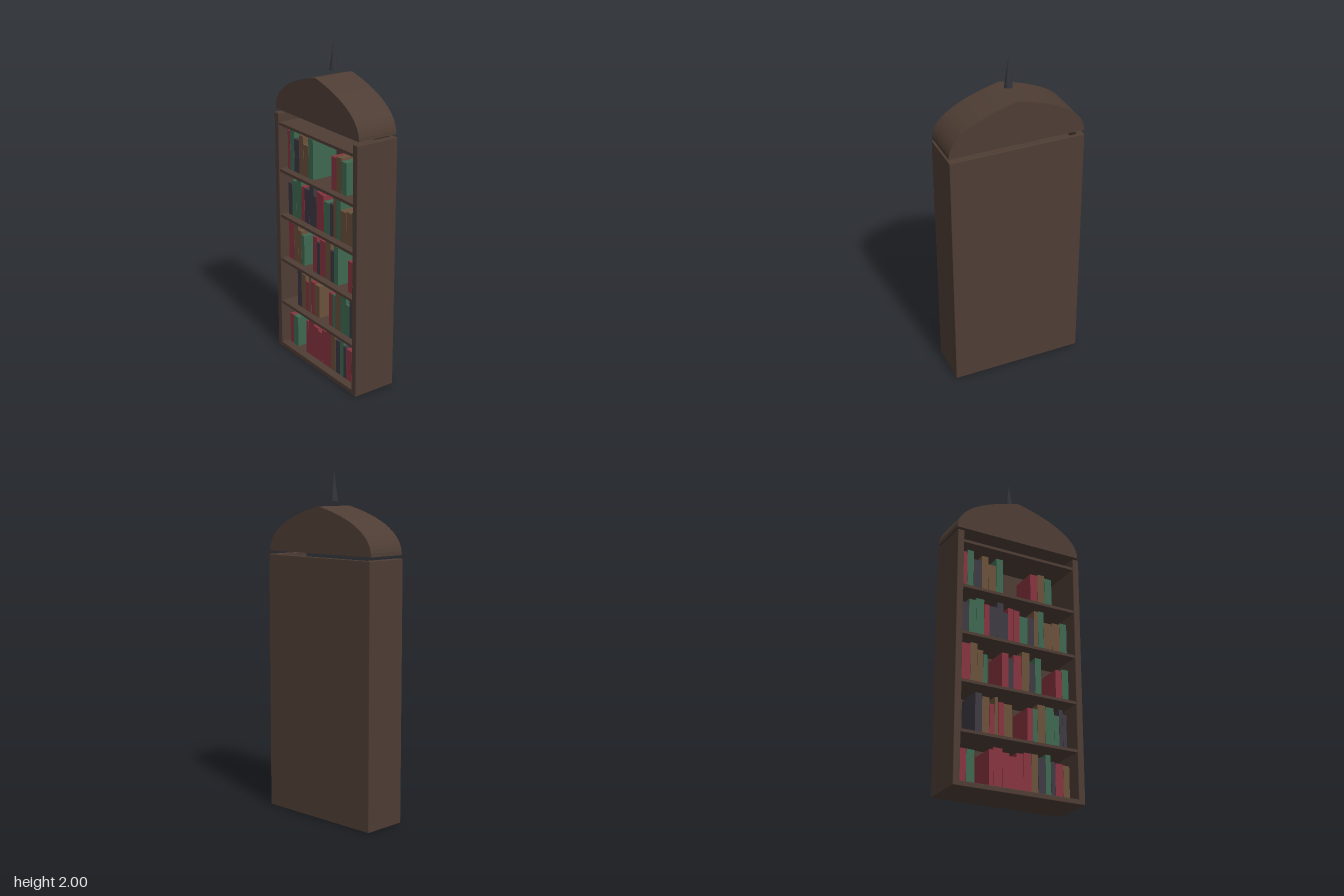
import * as THREE from 'three';
import { RoundedBoxGeometry } from 'three/addons/geometries/RoundedBoxGeometry.js';

const mat = (color) => new THREE.MeshStandardMaterial({ color });
const wood = mat(0x4e3d34);
const iron = mat(0x33343c);
const covers = { r: mat(0x86343f), g: mat(0x3f6850), b: mat(0x69513b), d: mat(0x3d3a43) };

// Shelf contents, bottom to top: runs of books as [startX, [cover, width, height], ...]
const shelves = [
  [
    [-0.339, ['r', 0.037, 0.195], ['g', 0.048, 0.195]],
    [-0.166, ['r', 0.026, 0.215], ['r', 0.054, 0.23], ['r', 0.044, 0.21], ['r', 0.042, 0.195],
      ['r', 0.045, 0.22], ['r', 0.047, 0.23], ['b', 0.042, 0.23], ['d', 0.048, 0.215],
      ['g', 0.033, 0.24], ['d', 0.028, 0.205], ['r', 0.05, 0.2], ['b', 0.04, 0.195]],
  ],
  [
    [-0.253, ['d', 0.042, 0.24], ['b', 0.044, 0.225], ['r', 0.033, 0.19], ['b', 0.022, 0.235],
      ['r', 0.035, 0.21], ['b', 0.052, 0.205]],
    [0.07, ['r', 0.035, 0.21], ['g', 0.03, 0.21], ['b', 0.05, 0.24], ['g', 0.055, 0.235],
      ['g', 0.033, 0.195], ['d', 0.024, 0.235], ['d', 0.025, 0.21]],
  ],
  [
    [-0.339, ['r', 0.053, 0.235], ['b', 0.042, 0.245], ['b', 0.037, 0.21], ['g', 0.028, 0.19]],
    [-0.09, ['r', 0.041, 0.225], ['d', 0.031, 0.2], ['r', 0.054, 0.225], ['b', 0.05, 0.255],
      ['d', 0.036, 0.195], ['g', 0.04, 0.235]],
    [0.255, ['r', 0.042, 0.19], ['g', 0.043, 0.2]],
  ],
  [
    [-0.339, ['d', 0.04, 0.2], ['g', 0.045, 0.225], ['g', 0.05, 0.24], ['r', 0.034, 0.215],
      ['d', 0.05, 0.21], ['d', 0.04, 0.245], ['d', 0.028, 0.19], ['r', 0.037, 0.225],
      ['r', 0.037, 0.22], ['g', 0.053, 0.19], ['d', 0.042, 0.195], ['b', 0.028, 0.245],
      ['g', 0.037, 0.25], ['b', 0.055, 0.185], ['b', 0.053, 0.195], ['g', 0.045, 0.205]],
  ],
  [
    [-0.339, ['r', 0.025, 0.235], ['g', 0.041, 0.25], ['d', 0.052, 0.2], ['b', 0.041, 0.235],
      ['b', 0.051, 0.19], ['g', 0.046, 0.24]],
    [0.095, ['r', 0.05, 0.195], ['b', 0.045, 0.205], ['g', 0.048, 0.19]],
  ],
];

export function createModel() {
  const model = new THREE.Group();
  const add = (name, geometry, material, x, y, z, parent = model) => {
    const mesh = new THREE.Mesh(geometry, material);
    mesh.name = name;
    mesh.position.set(x, y, z);
    parent.add(mesh);
    return mesh;
  };
  const panel = (w, h, d) => new RoundedBoxGeometry(w, h, d, 1, 0.004);

  // Case: two sides, a back and a base
  add('rightSide', panel(0.04, 1.51, 0.27), wood, -0.38, 0.755, 0);
  add('leftSide', panel(0.04, 1.51, 0.27), wood, 0.38, 0.755, 0);
  add('backPanel', panel(0.79, 1.51, 0.02), wood, 0, 0.755, -0.125);
  add('base', panel(0.79, 0.03, 0.268), wood, 0, 0.015, 0);

  // Five evenly spaced boards above the base, the highest closing the case
  const step = 0.285;
  for (let i = 1; i <= 5; i++) {
    add('shelf', new THREE.BoxGeometry(0.73, 0.017, 0.25), wood, 0, 0.0215 + i * step, 0.005);
  }

  // Books standing on the boards
  shelves.forEach((runs, i) => {
    const row = new THREE.Group();
    row.name = 'bookRow';
    row.position.y = 0.03 + i * step;
    model.add(row);
    for (const [start, ...books] of runs) {
      let x = start;
      for (const [cover, w, h] of books) {
        add('book', new THREE.BoxGeometry(w - 0.001, h, 0.165), covers[cover], x + w / 2, h / 2, 0.003, row);
        x += w;
      }
    }
  });

  // Arched crown with a slight point in the middle
  const arch = new THREE.Shape();
  arch.moveTo(-0.4, 1.53);
  arch.lineTo(0.4, 1.53);
  arch.quadraticCurveTo(0.4, 1.70, 0, 1.793);
  arch.quadraticCurveTo(-0.4, 1.70, -0.4, 1.53);
  const crown = new THREE.ExtrudeGeometry(arch, { depth: 0.25, bevelEnabled: false, curveSegments: 16 });
  add('crown', crown, wood, 0, 0, -0.125);

  // Spike above the crown
  add('finial', new THREE.ConeGeometry(0.024, 0.18, 12), iron, 0, 1.91, 0);
  return model;
}
